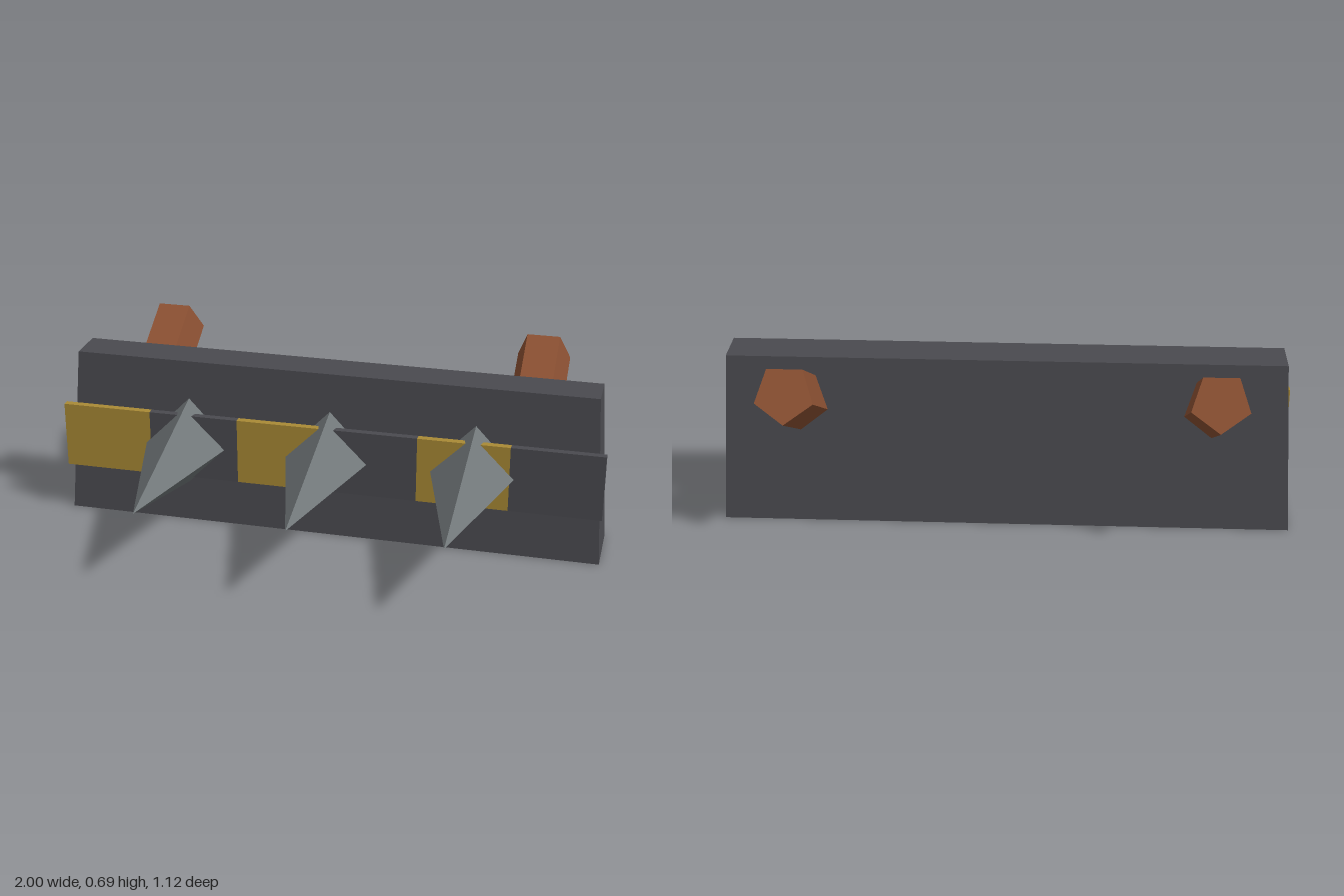
import * as THREE from 'three';

const flat = (name, color) => {
  const m = new THREE.MeshStandardMaterial({ color, flatShading: true });
  m.name = name;
  return m;
};

export function createModel() {
  const group = new THREE.Group();
  const iron = flat('dark iron', 0x4a4a4f);
  const yellow = flat('warning yellow', 0xa98a35);
  const steel = flat('spike steel', 0x707678);
  const wood = flat('brown wood', 0x8b5032);

  const add = (name, geometry, material, x, y, z) => {
    const mesh = new THREE.Mesh(geometry, material);
    mesh.name = name;
    mesh.position.set(x, y, z);
    group.add(mesh);
    return mesh;
  };

  // Plate: a box narrowed towards the top
  const H = 0.62;
  const plate = new THREE.BoxGeometry(2, H, 0.236);
  const p = plate.attributes.position;
  for (let i = 0; i < p.count; i++) {
    if (p.getY(i) > 0) {
      p.setX(i, p.getX(i) * 0.96);
      p.setZ(i, p.getZ(i) * 0.61);
    }
  }
  plate.computeVertexNormals();
  add('plate', plate, iron, 0, H / 2, -0.152);

  // Striped band: six panels of alternating colour across the front
  const w = 2 / 6;
  for (let i = 0; i < 6; i++) {
    add('bandPanel' + (i + 1), new THREE.BoxGeometry(w, 0.246, 0.026),
      i % 2 ? iron : yellow, -1 + w * (i + 0.5), 0.312, -0.02);
  }

  // Four-sided spikes pointing forward
  const spike = new THREE.ConeGeometry(0.169, 0.64, 4);
  spike.rotateX(Math.PI / 2);
  ['rightSpike', 'middleSpike', 'leftSpike'].forEach((name, i) =>
    add(name, spike, steel, (i - 1) * 0.533, 0.312, 0.24));

  // Five-sided handles leaning back and up, with a corner underneath
  const L = 0.4;
  const handle = new THREE.CylinderGeometry(0.102, 0.102, L, 5, 1, false, Math.PI);
  handle.translate(0, -L / 2, 0);
  handle.rotateX(-Math.PI / 3);
  add('rightHandle', handle, wood, -0.713, 0.619, -0.508);
  add('leftHandle', handle, wood, 0.713, 0.619, -0.508);

  return group;
}
